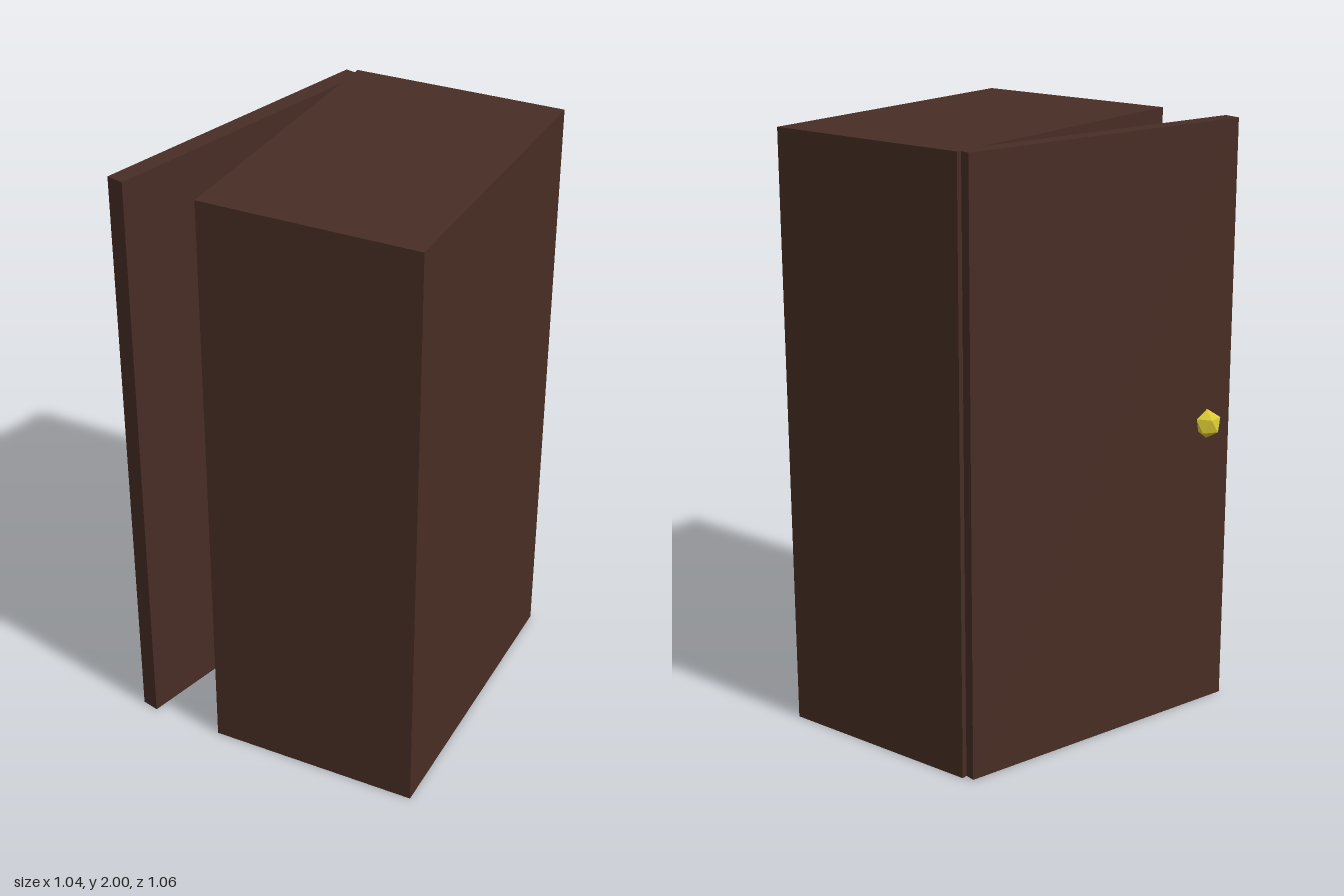
import * as THREE from 'three';

export function createModel() {
  const model = new THREE.Group();
  const wood = new THREE.MeshStandardMaterial({ color: 0x482d24 });
  wood.name = 'dark wood';
  const brass = new THREE.MeshStandardMaterial({ color: 0xd9c832, flatShading: true });
  brass.name = 'brass';

  function add(name, geometry, material, x, y, z) {
    const mesh = new THREE.Mesh(geometry, material);
    mesh.name = name;
    mesh.position.set(x, y, z);
    model.add(mesh);
    return mesh;
  }

  // Solid cabinet body
  add('cabinet', new THREE.BoxGeometry(0.715, 2, 1.06), wood, 0.1625, 1, 0);

  // Door slab, hinged at the back corner and standing ajar
  const door = add('door', new THREE.BoxGeometry(0.06, 1.998, 1.06), wood, -0.336, 1, 0);
  door.rotation.y = -THREE.MathUtils.degToRad(14.8);

  // Faceted knob, turned so that one corner points straight up
  const knob = new THREE.IcosahedronGeometry(0.05, 0);
  knob.rotateX(-Math.atan((1 + Math.sqrt(5)) / 2));
  knob.rotateY(Math.PI / 2);
  add('doorKnob', knob, brass, -0.475, 1, 0.41);

  return model;
}
